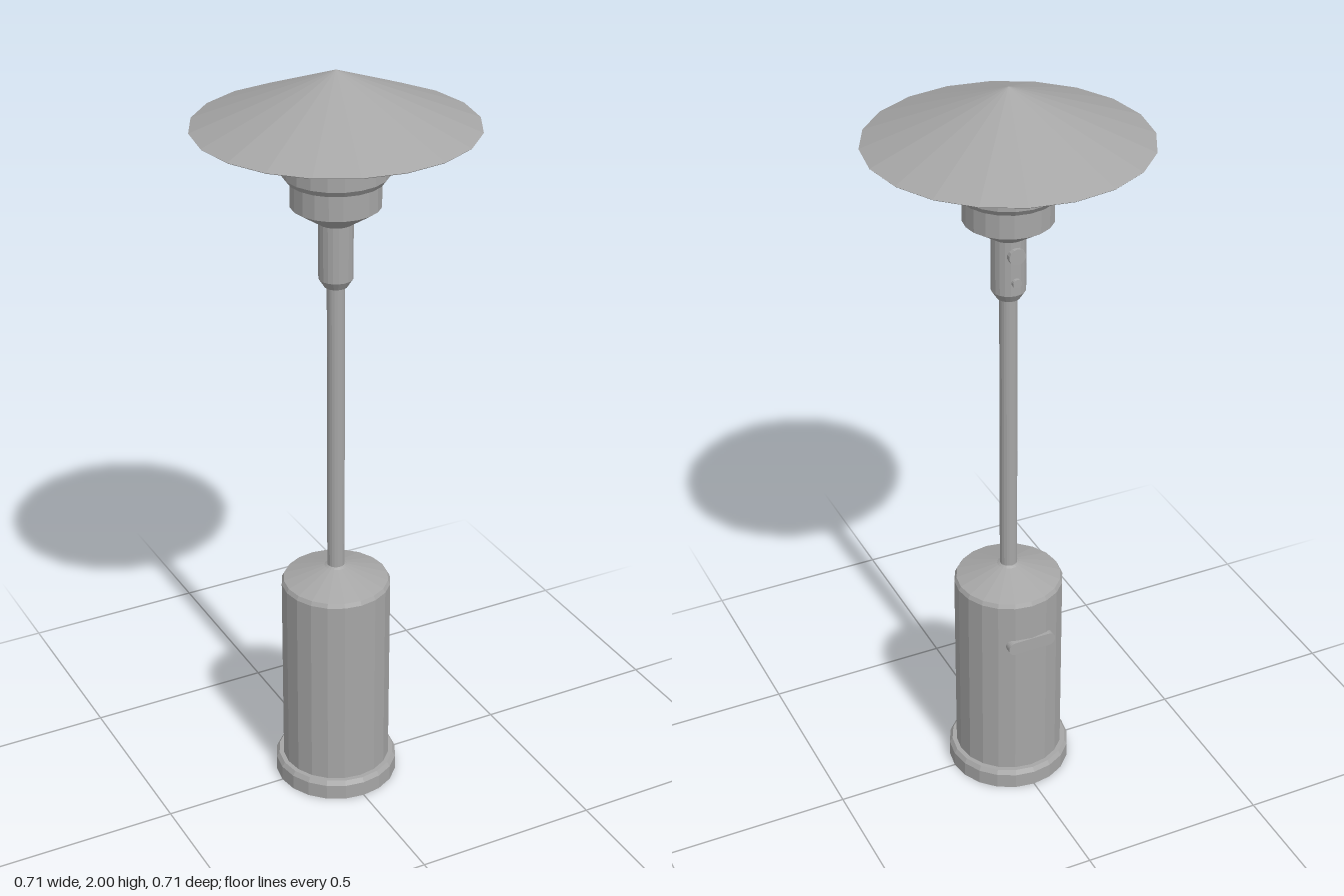
import * as THREE from 'three';

const SIDES = 20;

export function createModel() {
  const group = new THREE.Group();
  group.name = 'patioHeater';
  const grey = new THREE.MeshStandardMaterial({ color: 0xa6a6a6 });
  grey.name = 'metalGrey';
  grey.flatShading = true;

  const add = (name, geometry) => {
    const mesh = new THREE.Mesh(geometry, grey);
    mesh.name = name;
    group.add(mesh);
    return mesh;
  };
  // Turned part from [radius, height] pairs
  const turned = (name, profile) =>
    add(name, new THREE.LatheGeometry(profile.map(([r, y]) => new THREE.Vector2(r, y)), SIDES));

  // Foot ring and gas canister housing
  turned('base', [[0, 0], [0.165, 0], [0.165, 0.042], [0.157, 0.054], [0.14, 0.054]]);
  turned('canister', [[0.145, 0.05], [0.145, 0.595], [0.139, 0.606], [0.03, 0.643], [0.022, 0.648]]);

  // Pole and the valve sleeve above it
  turned('pole', [[0.023, 0.63], [0.023, 1.46]]);
  turned('valveSleeve', [[0.022, 1.446], [0.03, 1.446], [0.044, 1.468], [0.044, 1.62]]);

  // Stepped burner, reaching up into the shade
  turned('burner', [
    [0.03, 1.615], [0.044, 1.615], [0.113, 1.66], [0.113, 1.725],
    [0.122, 1.727], [0.133, 1.742], [0.133, 1.944],
  ]);

  // Thin conical reflector shade, with an inner and an outer skin
  turned('shade', [[0, 1.992], [0.351, 1.86], [0.353, 1.862], [0, 2]]);

  // Rounded grip on the back of the canister
  const grip = new THREE.Shape();
  grip.absarc(0.048, 0, 0.019, -Math.PI / 2, Math.PI / 2);
  grip.absarc(-0.048, 0, 0.019, Math.PI / 2, Math.PI * 1.5);
  grip.closePath();
  const gripMesh = add('grip', new THREE.ExtrudeGeometry(grip, {
    depth: 0.025, bevelEnabled: false, curveSegments: 8,
  }));
  gripMesh.position.set(0, 0.472, -0.148);

  // Control knobs on the back of the sleeve
  for (const [name, y, r] of [['controlKnob', 1.578, 0.022], ['igniterButton', 1.505, 0.012]]) {
    const knob = add(name, new THREE.CylinderGeometry(r, r, 0.025, 14));
    knob.rotation.x = -Math.PI / 2;
    knob.position.set(0, y, -0.04);
  }

  return group;
}
